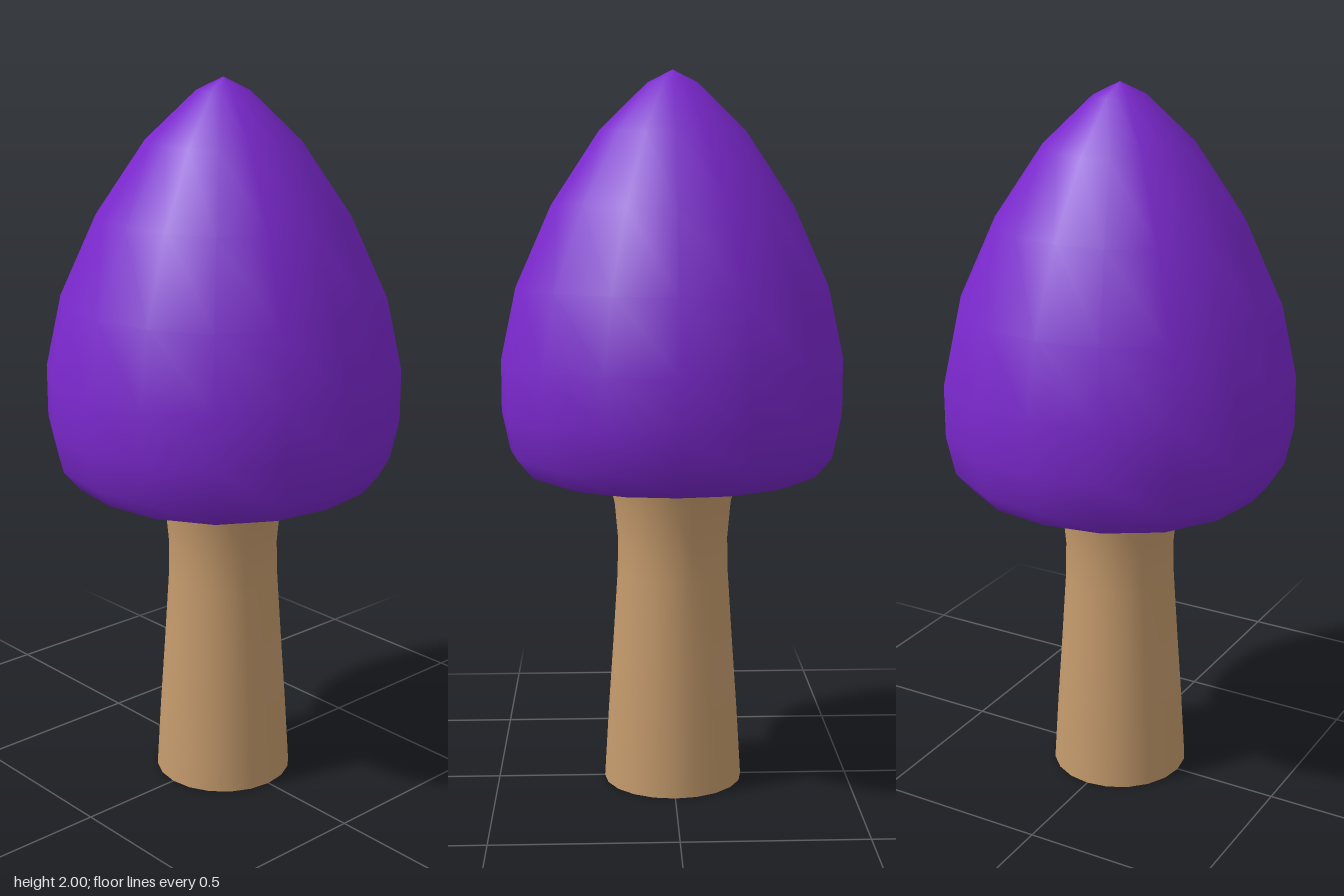
import * as THREE from 'three';

const lathe = (name, profile, sides, material) => {
  const points = profile.map(([r, y]) => new THREE.Vector2(r, y));
  const mesh = new THREE.Mesh(new THREE.LatheGeometry(points, sides), material);
  mesh.name = name;
  return mesh;
};

export function createModel() {
  const group = new THREE.Group();
  group.name = 'mushroom';

  const purple = new THREE.MeshStandardMaterial({ color: 0x7a28cc });
  purple.name = 'purple cap';
  const tan = new THREE.MeshStandardMaterial({ color: 0xc49a6c });
  tan.name = 'tan stem';

  // Stem: tapers upward, then flares under the cap
  group.add(lathe('stem', [
    [0.196, 0], [0.184, 0.2], [0.17, 0.4], [0.157, 0.6],
    [0.155, 0.7], [0.164, 0.8], [0.182, 0.88],
  ], 20, tan));

  // Flat foot of the stem, kept separate for a crisp edge
  const base = new THREE.Mesh(new THREE.CircleGeometry(0.196, 20), tan);
  base.rotation.x = Math.PI / 2;
  base.name = 'stemBase';
  group.add(base);

  // Pointed cap with a flat underside and rounded rim
  const cap = lathe('cap', [
    [0, 0.88], [0.2, 0.88], [0.35, 0.88], [0.41, 0.9], [0.455, 0.955], [0.478, 1.065],
    [0.478, 1.21], [0.435, 1.41], [0.335, 1.635], [0.203, 1.835], [0.07, 1.965], [0, 2],
  ], 16, purple);

  // Push the diagonals out slightly for a softly squared outline
  const pos = cap.geometry.attributes.position;
  for (let i = 0; i < pos.count; i++) {
    const x = pos.getX(i), z = pos.getZ(i);
    const k = 1 + 0.03 * Math.sin(2 * Math.atan2(z, x)) ** 2;
    pos.setXYZ(i, x * k, pos.getY(i), z * k);
  }
  group.add(cap);

  return group;
}
